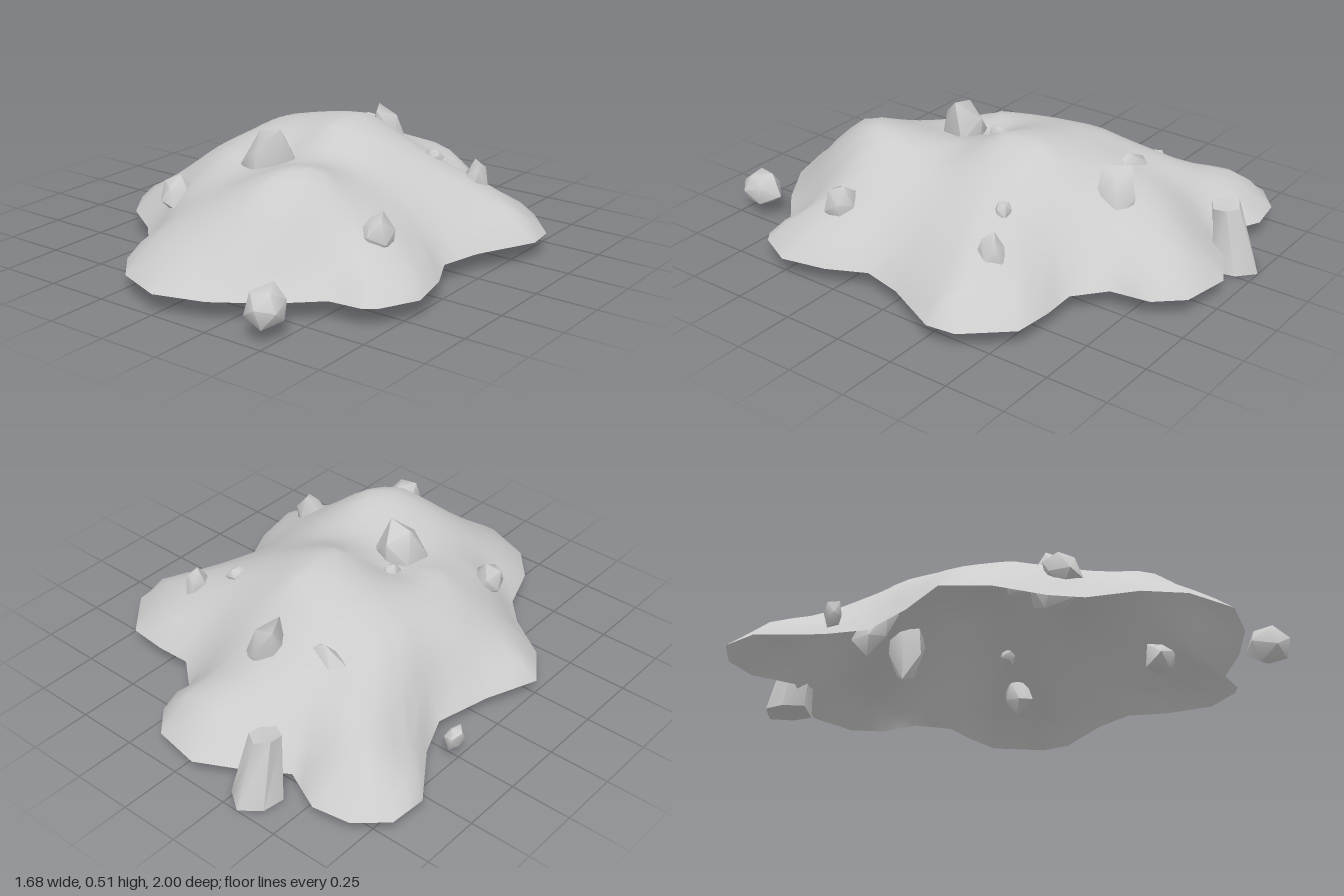
import * as THREE from 'three';
import { mergeVertices, toCreasedNormals } from 'three/addons/utils/BufferGeometryUtils.js';

const material = new THREE.MeshStandardMaterial({ color: 0xcccccc, side: THREE.DoubleSide });
const RIM_Y = 0.08;

// Ground outline of the mound, x and z
const outline = [
  [0, .995], [.2, .935], [.39, .81], [.54, .67], [.675, .655], [.72, .62], [.795, .47],
  [.755, .285], [.68, .13], [.72, -.04], [.835, -.28], [.82, -.4], [.67, -.57], [.51, -.585],
  [.365, -.58], [.245, -.68], [.22, -.84], [.125, -.945], [-.075, -.98], [-.245, -.89],
  [-.4, -.79], [-.57, -.87], [-.72, -.845], [-.835, -.745], [-.845, -.59], [-.695, -.375],
  [-.625, -.21], [-.68, .015], [-.765, .23], [-.66, .38], [-.48, .5], [-.385, .6],
  [-.315, .79], [-.2, .92],
];

// Peaks, ridges and saddles: x, z, height
const spots = [
  [.06, -.04, .485], [.05, -.26, .475], [-.15, -.25, .45], [-.34, -.25, .405], [-.31, -.43, .345],
  [0, -.41, .39], [-.5, -.38, .3], [-.45, -.58, .285], [-.2, -.65, .28], [-.04, -.52, .335],
  [0, -.78, .23], [-.02, -.88, .18], [.12, -.84, .175], [-.12, .11, .37], [-.06, .25, .36],
  [.28, .42, .448], [.2, .56, .43], [.3, .7, .27], [0, .45, .375], [-.28, .22, .385],
  [-.34, .48, .24], [.2, .13, .385], [.4, .05, .32], [.54, .38, .255], [.53, -.33, .27],
  [.36, -.27, .35], [.77, -.34, .16], [-.5, -.2, .305], [-.52, .03, .285], [-.5, .22, .26],
  [-.62, -.66, .23], [-.72, -.71, .195], [0, .6, .345], [0, .8, .215],
];

// Solves a small dense linear system by elimination with pivoting
function solve(A, b) {
  const n = b.length;
  for (let i = 0; i < n; i++) {
    let p = i;
    for (let r = i + 1; r < n; r++) if (Math.abs(A[r][i]) > Math.abs(A[p][i])) p = r;
    [A[i], A[p]] = [A[p], A[i]];
    [b[i], b[p]] = [b[p], b[i]];
    for (let r = i + 1; r < n; r++) {
      const f = A[r][i] / A[i][i];
      for (let c = i; c < n; c++) A[r][c] -= f * A[i][c];
      b[r] -= f * b[i];
    }
  }
  for (let i = n - 1; i >= 0; i--) {
    for (let c = i + 1; c < n; c++) b[i] -= A[i][c] * b[c];
    b[i] /= A[i][i];
  }
  return b;
}

// Smooth height field through the rim, a band just inside it and the spots
function makeHeight() {
  const pts = [
    ...spots,
    ...outline.map(([x, z]) => [x, z, RIM_Y]),
    ...outline.map(([x, z]) => [x * .93, z * .93, .135]),
  ];
  const kernel = (a, x, z) => Math.pow(Math.hypot(a[0] - x, a[1] - z), 1.3);
  const A = pts.map((p) => [...pts.map((q) => kernel(q, p[0], p[1])), 1]);
  A.push([...pts.map(() => 1), 0]);
  const w = solve(A, [...pts.map((p) => p[2]), 0]);
  return (x, z) => pts.reduce((sum, p, i) => sum + w[i] * kernel(p, x, z), w[pts.length]);
}

// Open shell made of rings shrinking from the rim to the middle
function makeMound() {
  const height = makeHeight();
  const rings = 14;
  const loop = outline.flatMap(([x, z], i) => {
    const [x2, z2] = outline[(i + 1) % outline.length];
    return [[x, z], [(x + x2) / 2, (z + z2) / 2]];
  });
  const n = loop.length;
  const position = [];
  const index = [];
  for (let r = 0; r < rings; r++) {
    const s = 1 - r / rings;
    for (const [x, z] of loop) position.push(x * s, r ? height(x * s, z * s) : RIM_Y, z * s);
  }
  position.push(0, height(0, 0), 0);
  for (let r = 0; r < rings; r++) {
    for (let i = 0; i < n; i++) {
      const j = (i + 1) % n;
      const a = r * n + i, b = r * n + j;
      if (r === rings - 1) index.push(a, b, rings * n);
      else index.push(a, b, b + n, a, b + n, a + n);
    }
  }
  const g = new THREE.BufferGeometry();
  g.setAttribute('position', new THREE.Float32BufferAttribute(position, 3));
  g.setIndex(index);
  g.computeVertexNormals();
  return g;
}

function seeded(seed) {
  let s = seed * 7919 + 17;
  return () => (s = (s * 16807) % 2147483647) / 2147483647;
}

// Roughens a base shape, reshapes it by a rule and fits it to a box
function makeRock(base, size, seed, roughness, reshape) {
  const rand = seeded(seed);
  for (let i = 0; i < 5; i++) rand();
  base.deleteAttribute('uv');
  base.deleteAttribute('normal');
  const g = mergeVertices(base, 1e-3);
  const p = g.attributes.position;
  const v = new THREE.Vector3();
  for (let i = 0; i < p.count; i++) {
    v.fromBufferAttribute(p, i).multiplyScalar(1 + roughness * (rand() - .5));
    reshape(v);
    p.setXYZ(i, v.x, v.y, v.z);
  }
  g.computeBoundingBox();
  const c = g.boundingBox.getCenter(new THREE.Vector3());
  const d = g.boundingBox.getSize(new THREE.Vector3());
  g.translate(-c.x, -c.y, -c.z);
  g.scale(size[0] / d.x, size[1] / d.y, size[2] / d.z);
  return toCreasedNormals(g, .95);
}

// Boulders and pebbles: name, centre, size, narrowing towards the top
const boulders = [
  ['summitRock', [-.06, .378, .25], [.185, .27, .2], .25],
  ['frontSlopeRock', [-.34, .245, .475], [.13, .155, .13], .2],
  ['leftSlopeRock', [.54, .255, .38], [.135, .15, .14], .4],
  ['frontLooseRock', [.455, .12, .9], [.14, .145, .19], .1],
  ['summitPebble', [-.12, .37, .11], [.07, .085, .07], 0],
  ['leftPebble', [.36, .345, -.275], [.07, .06, .065], 0],
  ['leftWedgeRock', [.53, .245, -.335], [.1, .2, .13], .4],
  ['backSlopeRock', [-.025, .285, -.52], [.145, .29, .17], -.3],
  ['looseRightPebble', [-.75, .115, -.28], [.065, .09, .07], 0],
];

export function createModel() {
  const group = new THREE.Group();
  const add = (name, geometry, centre = [0, 0, 0]) => {
    const mesh = new THREE.Mesh(geometry, material);
    mesh.name = name;
    mesh.position.set(...centre);
    group.add(mesh);
  };
  add('mound', makeMound());

  boulders.forEach(([name, centre, size, taper], i) => {
    const base = new THREE.IcosahedronGeometry(1, 0).rotateX(i * 1.3).rotateZ(i * .9);
    add(name, makeRock(base, size, i + 1, .4, (v) => {
      const t = 1 - taper * (v.y + 1) / 2;
      v.x *= t;
      v.z *= t;
    }), centre);
  });

  // Shard sunk into the slope, pointed at its upper end
  add('backShardRock', makeRock(new THREE.IcosahedronGeometry(1, 0), [.215, .27, .1], 20, .2, (v) => {
    const t = 1 - .7 * (v.x + 1) / 2;
    v.y = v.y * t + .6 * v.x;
    v.z *= t;
  }), [-.31, .255, -.435]);

  // Tall block with a flat foot, leaning against the mound
  add('backTallRock', makeRock(new THREE.CylinderGeometry(1, 1, 2, 6), [.175, .27, .22], 21, .2, (v) => {
    const t = 1 - .35 * (v.y + 1) / 2;
    v.x *= t;
    v.z = v.z * t + .3 * v.y;
  }), [-.32, .135, -.89]);
  return group;
}
